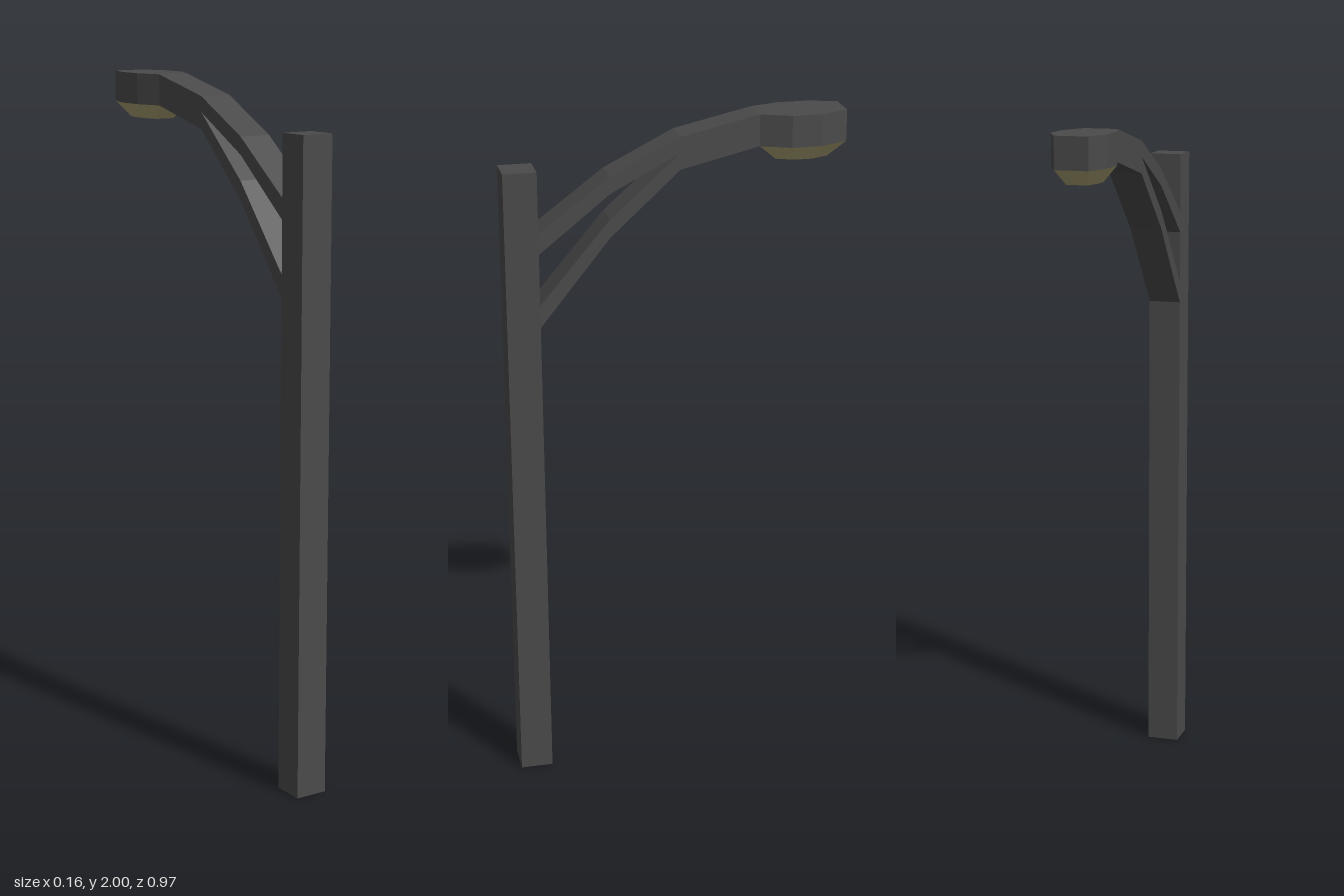
import * as THREE from 'three';

const LEFT = 0.041, RIGHT = -0.055, WIDTH = LEFT - RIGHT, MID = (LEFT + RIGHT) / 2;

function toShape(points) {
  return new THREE.Shape(points.map(([a, b]) => new THREE.Vector2(a, b)));
}

// Horizontal slab with an (x, z) outline, hanging down from height top
function slab(outline, top, height) {
  const geo = new THREE.ExtrudeGeometry(toShape(outline), { depth: height, bevelEnabled: false });
  return geo.rotateX(Math.PI / 2).translate(0, top, 0);
}

export function createModel() {
  const group = new THREE.Group();
  const metal = new THREE.MeshStandardMaterial({ color: 0x4a4a4a, flatShading: true, side: THREE.DoubleSide });
  const glass = new THREE.MeshStandardMaterial({ color: 0xa89f72, flatShading: true });

  function add(name, geometry, material) {
    const mesh = new THREE.Mesh(geometry, material);
    mesh.name = name;
    group.add(mesh);
  }

  // Square post, open underneath
  const post = new THREE.BoxGeometry(WIDTH, 1.875, 0.095).translate(MID, 0.9375, 0.4375);
  const faces = Array.from(post.index.array);
  faces.splice(18, 6);
  post.setIndex(faces);
  post.clearGroups();
  add('post', post, metal);

  // Forked arm: side profile as (z, y), with a notch between its two struts
  const profile = [
    [0.39, 1.70], [0.188, 1.85], [-0.012, 1.95], [-0.237, 2.0],
    [-0.237, 1.91], [-0.012, 1.857], [0.188, 1.675], [0.39, 1.425],
    [0.39, 1.49], [0.188, 1.728], [-0.012, 1.905], [0.188, 1.80], [0.39, 1.64],
  ];
  const arm = new THREE.ExtrudeGeometry(toShape(profile), { depth: WIDTH, bevelEnabled: false });
  add('arm', arm.rotateY(-Math.PI / 2).translate(LEFT, 0, 0), metal);

  // Eight-sided lamp head
  const outline = [
    [LEFT, -0.237], [0.078, -0.32], [0.078, -0.405], [LEFT, -0.487],
    [RIGHT, -0.487], [-0.08, -0.405], [-0.08, -0.32], [RIGHT, -0.237],
  ];
  add('lampHead', slab(outline, 2.0, 0.09), metal);

  // Lens: same outline, tapered towards its lower face
  const lens = slab(outline, 1.91, 0.043);
  const pos = lens.attributes.position;
  const centre = -0.362;
  for (let i = 0; i < pos.count; i++) {
    if (pos.getY(i) > 1.89) continue;
    pos.setX(i, pos.getX(i) * 0.6);
    pos.setZ(i, centre + (pos.getZ(i) - centre) * 0.6);
  }
  lens.computeVertexNormals();
  add('lens', lens, glass);

  return group;
}
